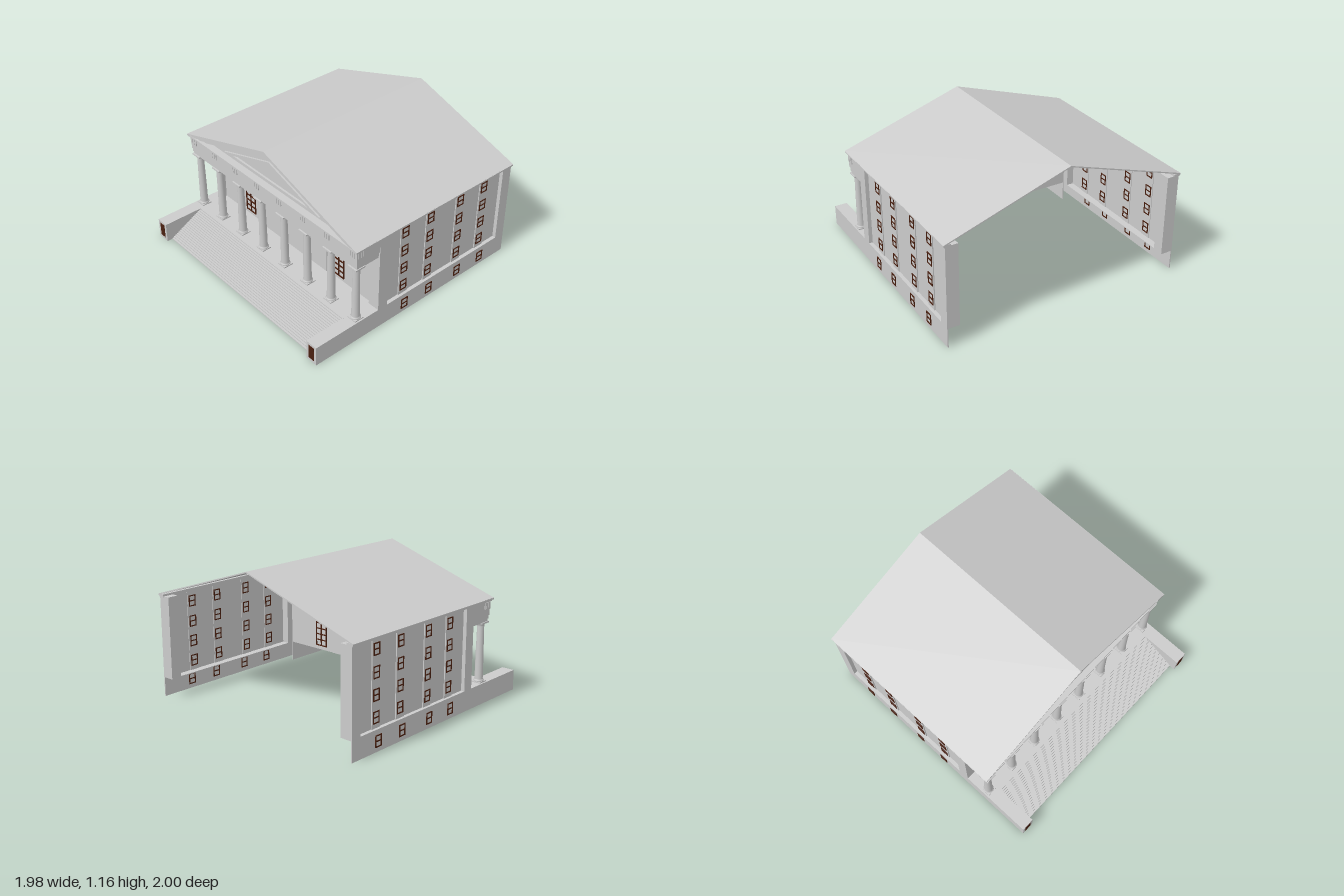
import * as THREE from 'three';

const stone = new THREE.MeshStandardMaterial({ color: 0xcccccc, side: THREE.DoubleSide });
const brown = new THREE.MeshStandardMaterial({ color: 0x4a2010 });

// Roof line: ridge height, eave height, half width
const RIDGE = 1.16, EAVE = 0.835, SLOPE = RIDGE - EAVE;

function add(parent, name, geometry, material = stone) {
  const mesh = new THREE.Mesh(geometry, material);
  mesh.name = name;
  parent.add(mesh);
  return mesh;
}

// Box given by its limits on each axis
function box(parent, name, x0, x1, y0, y1, z0, z1, material) {
  const g = new THREE.BoxGeometry(Math.abs(x1 - x0), Math.abs(y1 - y0), Math.abs(z1 - z0));
  g.translate((x0 + x1) / 2, (y0 + y1) / 2, (z0 + z1) / 2);
  return add(parent, name, g, material);
}

// Window bars in the XY plane, centred on the origin
function windowFrame(w, h, cols, rows, bar, depth) {
  const group = new THREE.Group();
  group.name = 'windowFrame';
  for (let i = 0; i <= cols; i++) {
    const x = -w / 2 + bar / 2 + (i * (w - bar)) / cols;
    box(group, 'windowUpright', x - bar / 2, x + bar / 2, -h / 2, h / 2, -depth / 2, depth / 2, brown);
  }
  for (let j = 0; j <= rows; j++) {
    const y = -h / 2 + bar / 2 + (j * (h - bar)) / rows;
    box(group, 'windowRail', -w / 2, w / 2, y - bar / 2, y + bar / 2, -depth / 2, depth / 2, brown);
  }
  return group;
}

// Shape drawn in (z, y), extruded from xBack towards the portico at xFront
function extrudeX(parent, name, shape, xBack, xFront) {
  const g = new THREE.ExtrudeGeometry(shape, { depth: xBack - xFront, bevelEnabled: false });
  g.rotateY(-Math.PI / 2);
  g.translate(xBack, 0, 0);
  return add(parent, name, g);
}

// Inverted V band lying between two drops below the roof line
function chevron(d0, d1) {
  const a = 1 - d0 / SLOPE, b = 1 - d1 / SLOPE;
  return new THREE.Shape([[-a, EAVE], [-b, EAVE], [0, RIDGE - d1], [b, EAVE], [a, EAVE], [0, RIDGE - d0]]
    .map(([z, y]) => new THREE.Vector2(z, y)));
}

function triangle(halfWidth, y0, y1, Type = THREE.Shape) {
  return new Type([[-halfWidth, y0], [halfWidth, y0], [0, y1]].map(([z, y]) => new THREE.Vector2(z, y)));
}

// Sheet swept across z along an (x, y) profile, with sharp folds
function sheet(parent, name, profile, halfZ) {
  const pos = [];
  for (let i = 0; i < profile.length - 1; i++) {
    const [ax, ay] = profile[i], [bx, by] = profile[i + 1];
    pos.push(ax, ay, -halfZ, ax, ay, halfZ, bx, by, halfZ, ax, ay, -halfZ, bx, by, halfZ, bx, by, -halfZ);
  }
  const g = new THREE.BufferGeometry();
  g.setAttribute('position', new THREE.Float32BufferAttribute(pos, 3));
  g.computeVertexNormals();
  return add(parent, name, g);
}

function sideWall(s) {
  const side = new THREE.Group();
  side.name = s > 0 ? 'leftWall' : 'rightWall';
  // Basement wall, ledge and stair cheek
  box(side, 'basementWall', -0.985, 0.98, 0, 0.165, s * 0.977, s * 0.985);
  box(side, 'ledge', -0.985, 0.98, 0.157, 0.165, s * 0.885, s * 0.985);
  box(side, 'cheekInnerWall', -0.985, -0.36, 0, 0.165, s * 0.88, s * 0.888);
  box(side, 'cheekFront', -0.99, -0.982, 0, 0.165, s * 0.88, s * 0.985);
  box(side, 'cheekPanel', -0.992, -0.978, 0.025, 0.145, s * 0.905, s * 0.962, brown);
  // Corner piers and the recessed wall between them
  box(side, 'frontPier', -0.395, -0.305, 0.165, 0.82, s * 0.885, s * 0.985);
  box(side, 'rearPier', 0.89, 0.98, 0.165, 0.82, s * 0.885, s * 0.985);
  box(side, 'wallPanel', -0.305, 0.89, 0.165, 0.82, s * 0.945, s * 0.955);
  // Window bays
  for (const x of [-0.125, 0.132, 0.445, 0.705]) {
    box(side, 'windowBay', x - 0.045, x + 0.045, 0.165, 0.82, s * 0.94, s * 0.963);
    [0.08, 0.245, 0.408, 0.57, 0.735].forEach((y, floor) => {
      const frame = windowFrame(0.066, 0.09, 1, 2, 0.008, floor ? 0.032 : 0.018);
      frame.position.set(x, y, s * (floor ? 0.9515 : 0.981));
      side.add(frame);
    });
  }
  // Eaves cornice
  box(side, 'eavesCornice', -0.635, 0.985, 0.822, 0.836, s * 0.94, s * 0.998);
  box(side, 'eavesMoulding', -0.62, 0.982, 0.812, 0.822, s * 0.94, s * 0.991);
  return side;
}

function portico() {
  const group = new THREE.Group();
  group.name = 'portico';

  // Floor and flight of steps as one folded sheet
  const profile = [[-0.36, 0.165], [-0.65, 0.165]], steps = 20;
  for (let i = 1; i <= steps; i++) {
    const y = 0.165 * (1 - i / steps);
    profile.push([-0.65 - (0.295 * (i - 1)) / (steps - 1), y]);
    if (i < steps) profile.push([-0.65 - (0.295 * i) / (steps - 1), y]);
  }
  sheet(group, 'floorAndSteps', profile, 0.885);

  // Entrance wall with door surround and tall windows
  box(group, 'entranceWall', -0.375, -0.36, 0.165, 0.82, -0.89, 0.89);
  box(group, 'doorSurround', -0.39, -0.357, 0.165, 0.49, -0.408, 0.408);
  box(group, 'doorCap', -0.402, -0.375, 0.475, 0.49, -0.415, 0.415);
  for (const z of [-0.535, 0.535]) {
    const frame = windowFrame(0.12, 0.255, 2, 5, 0.008, 0.03);
    frame.rotation.y = Math.PI / 2;
    frame.position.set(-0.3675, 0.325, z);
    group.add(frame);
  }

  // Columns, each with a frieze block above it
  const shaft = new THREE.LatheGeometry([[0.039, 0.173], [0.041, 0.18], [0.037, 0.188], [0.032, 0.192], [0.031, 0.35],
    [0.027, 0.61], [0.03, 0.616], [0.027, 0.622], [0.036, 0.638], [0.038, 0.642]]
    .map(([r, y]) => new THREE.Vector2(r, y)), 20);
  for (let i = 0; i < 8; i++) {
    const z = -0.932 + (i * 1.864) / 7;
    const column = new THREE.Group();
    column.name = 'column';
    add(column, 'columnShaft', shaft);
    box(column, 'columnPlinth', -0.041, 0.041, 0.163, 0.174, -0.041, 0.041);
    box(column, 'columnCapital', -0.045, 0.045, 0.641, 0.653, -0.045, 0.045);
    column.position.set(-0.57, 0, z);
    group.add(column);
    for (const k of [-1, 0, 1])
      box(group, 'friezeBlock', -0.622, -0.61, 0.757, 0.81, z + k * 0.023 - 0.009, z + k * 0.023 + 0.009);
  }

  // Stepped beam across the front and back to the wall at each end
  for (const [y0, y1, out] of [[0.65, 0.672, 0], [0.672, 0.702, 0.005], [0.702, 0.75, 0.01], [0.75, 0.82, 0.013]]) {
    box(group, 'frontBeam', -0.602 - out, -0.535, y0, y1, -0.97 - out, 0.97 + out);
    for (const s of [-1, 1]) box(group, 'endBeam', -0.54, -0.39, y0, y1, s * 0.895, s * (0.97 + out));
  }
  for (const s of [-1, 1])
    for (const k of [-1, 0, 1])
      box(group, 'friezeBlock', -0.57 + k * 0.023 - 0.009, -0.57 + k * 0.023 + 0.009, 0.757, 0.81, s * 0.98, s * 0.989);
  box(group, 'frontCornice', -0.635, -0.36, 0.822, 0.836, -0.998, 0.998);
  box(group, 'frontCorniceMoulding', -0.624, -0.36, 0.812, 0.822, -0.99, 0.99);

  // Pediment: stepped raking mouldings, back wall and framed triangle
  [-0.632, -0.618, -0.604].forEach((x, i) =>
    extrudeX(group, 'rakingMoulding', chevron(0.01 + i * 0.02, 0.03 + i * 0.02), -0.56 + i * 0.003, x));
  extrudeX(group, 'pedimentWall', triangle(0.8, EAVE, 1.095), -0.565, -0.575);
  const frame = triangle(0.56, 0.865, 1.047);
  frame.holes.push(triangle(0.44, 0.883, 1.026, THREE.Path));
  extrudeX(group, 'pedimentFrame', frame, -0.575, -0.592);
  return group;
}

export function createModel() {
  const model = new THREE.Group();
  model.name = 'building';
  model.add(sideWall(1), sideWall(-1), portico());
  // Thin gabled roof, open at the rear
  extrudeX(model, 'roof', chevron(0, 0.01), 0.985, -0.635);
  return model;
}
